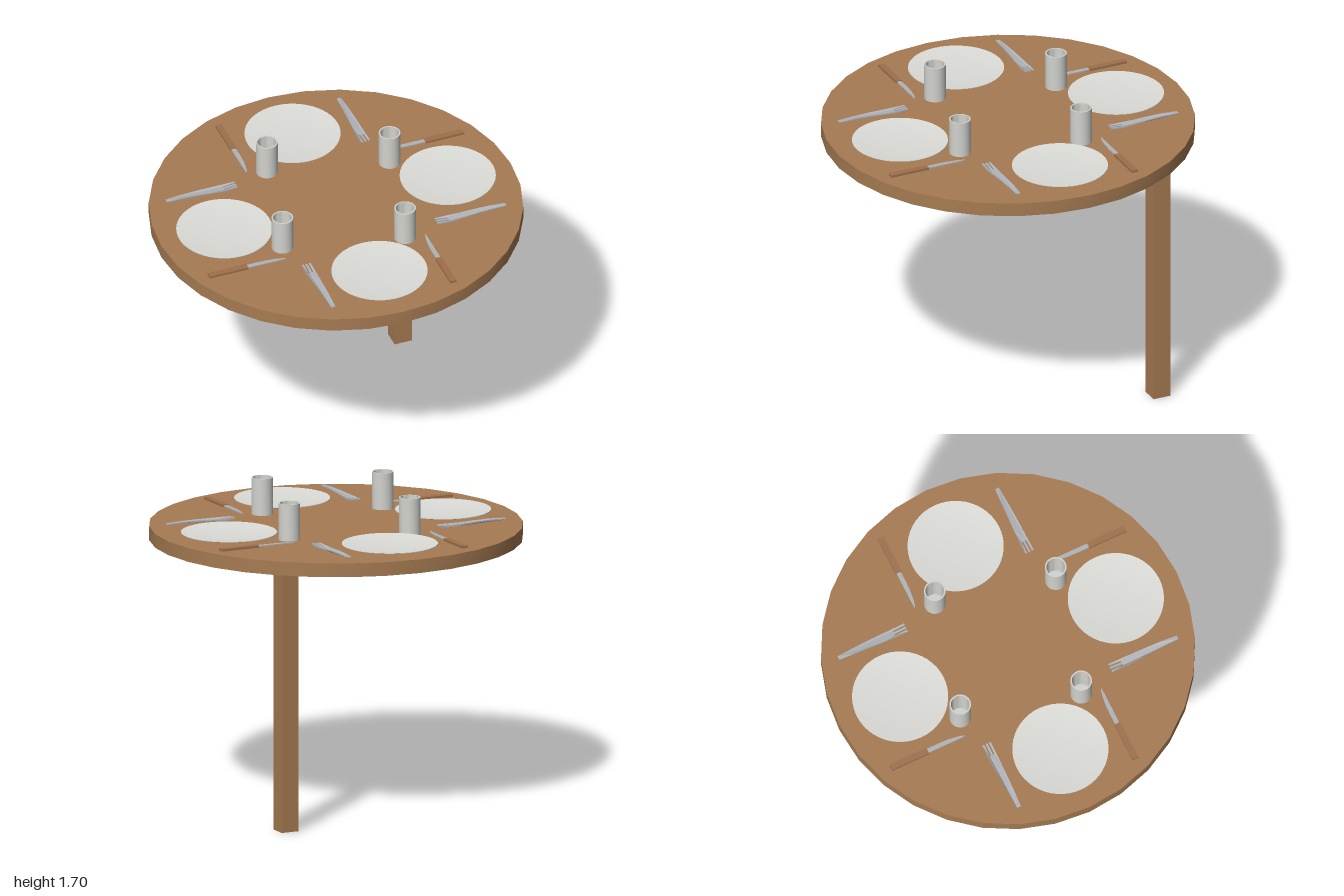
import * as THREE from 'three';
import { toCreasedNormals } from 'three/addons/utils/BufferGeometryUtils.js';

const TOP = 1.5; // height of the table surface

const material = (name, color, side = THREE.FrontSide) => {
  const m = new THREE.MeshStandardMaterial({ color, side });
  m.name = name;
  return m;
};

// Flat piece outlined in plan as [x, z] points, lying on the table
function plate2D(points, thickness, base) {
  const shape = new THREE.Shape(points.map(([x, z]) => new THREE.Vector2(x, z)));
  return new THREE.ExtrudeGeometry(shape, { depth: thickness, bevelEnabled: false })
    .rotateX(Math.PI / 2)
    .translate(0, base + thickness, 0);
}

function lathe(points, segments) {
  const g = new THREE.LatheGeometry(points.map(([r, y]) => new THREE.Vector2(r, y)), segments);
  return toCreasedNormals(g, 0.6);
}

// Three-tined fork pointing to -z, gently arched along its length
function forkGeometry() {
  const pts = [];
  const tine = 0.011, gap = 0.0085;
  for (let i = 0; i < 3; i++) {
    const x = -0.025 + i * (tine + gap);
    if (i > 0) pts.push([x, 0.51]);
    pts.push([x, 0.44], [x + tine, 0.44]);
    if (i < 2) pts.push([x + tine, 0.51]);
  }
  const side = [[0.025, 0.51], [0.023, 0.58], [0.02, 0.66], [0.016, 0.75], [0.011, 0.84]];
  pts.push(...side, ...side.slice().reverse().map(([x, z]) => [-x, z]));
  const g = plate2D(pts, 0.006, TOP + 0.002);
  const p = g.attributes.position;
  for (let i = 0; i < p.count; i++) {
    const t = (p.getZ(i) - 0.51) / 0.33;
    p.setY(i, p.getY(i) + (t > 0 ? 0.011 * Math.sin(t * 2.4) : -0.06 * t * 0.5));
  }
  g.computeVertexNormals();
  return g;
}

export function createModel() {
  const model = new THREE.Group();
  model.name = 'diningTable';

  const wood = material('wood', 0xa67b52);
  const china = material('china', 0xdcdcd8);
  const glass = material('cupGrey', 0xd2d2ce);
  const steel = material('steel', 0xb0b3b8);
  const handleWood = material('handleWood', 0xa0704c);

  const add = (parent, name, geometry, mat, x = 0, y = 0, z = 0) => {
    const mesh = new THREE.Mesh(geometry, mat);
    mesh.name = name;
    mesh.position.set(x, y, z);
    parent.add(mesh);
  };

  // Round top and its single corner leg
  const top = new THREE.CylinderGeometry(1, 1, 0.075, 32);
  add(model, 'tableTop', toCreasedNormals(top, 0.6), wood, 0, TOP - 0.0375, 0);
  add(model, 'leg', new THREE.BoxGeometry(0.1, 1.43, 0.1), wood, 0.6, 0.715, -0.6);

  // Shared shapes for each place setting
  const dish = lathe([
    [0, 0], [0.19, 0], [0.257, 0.016], [0.257, 0.019],
    [0.2, 0.0135], [0.12, 0.009], [0, 0.007],
  ], 48);
  const cup = lathe([
    [0, 0], [0.058, 0], [0.058, 0.2], [0.05, 0.2], [0.05, 0.012], [0, 0.012],
  ], 32);
  const fork = forkGeometry();
  const blade = plate2D([
    [-0.012, 0.645], [-0.013, 0.58], [-0.011, 0.52], [-0.005, 0.47], [0.003, 0.435],
    [0.01, 0.42], [0.012, 0.45], [0.012, 0.645],
  ], 0.006, TOP + 0.003);
  const handle = new THREE.BoxGeometry(0.035, 0.013, 0.22);

  // Four identical settings around the table
  for (let i = 0; i < 4; i++) {
    const setting = new THREE.Group();
    setting.name = 'placeSetting' + (i + 1);
    setting.rotation.y = i * Math.PI / 2;
    add(setting, 'plate', dish, china, 0, TOP, 0.64);
    add(setting, 'cup', cup, glass, 0.24, TOP, 0.4);
    add(setting, 'fork', fork, steel, -0.342, 0, 0);
    add(setting, 'knifeBlade', blade, steel, 0.338, 0, 0);
    add(setting, 'knifeHandle', handle, handleWood, 0.338, TOP + 0.0065, 0.75);
    model.add(setting);
  }
  return model;
}
